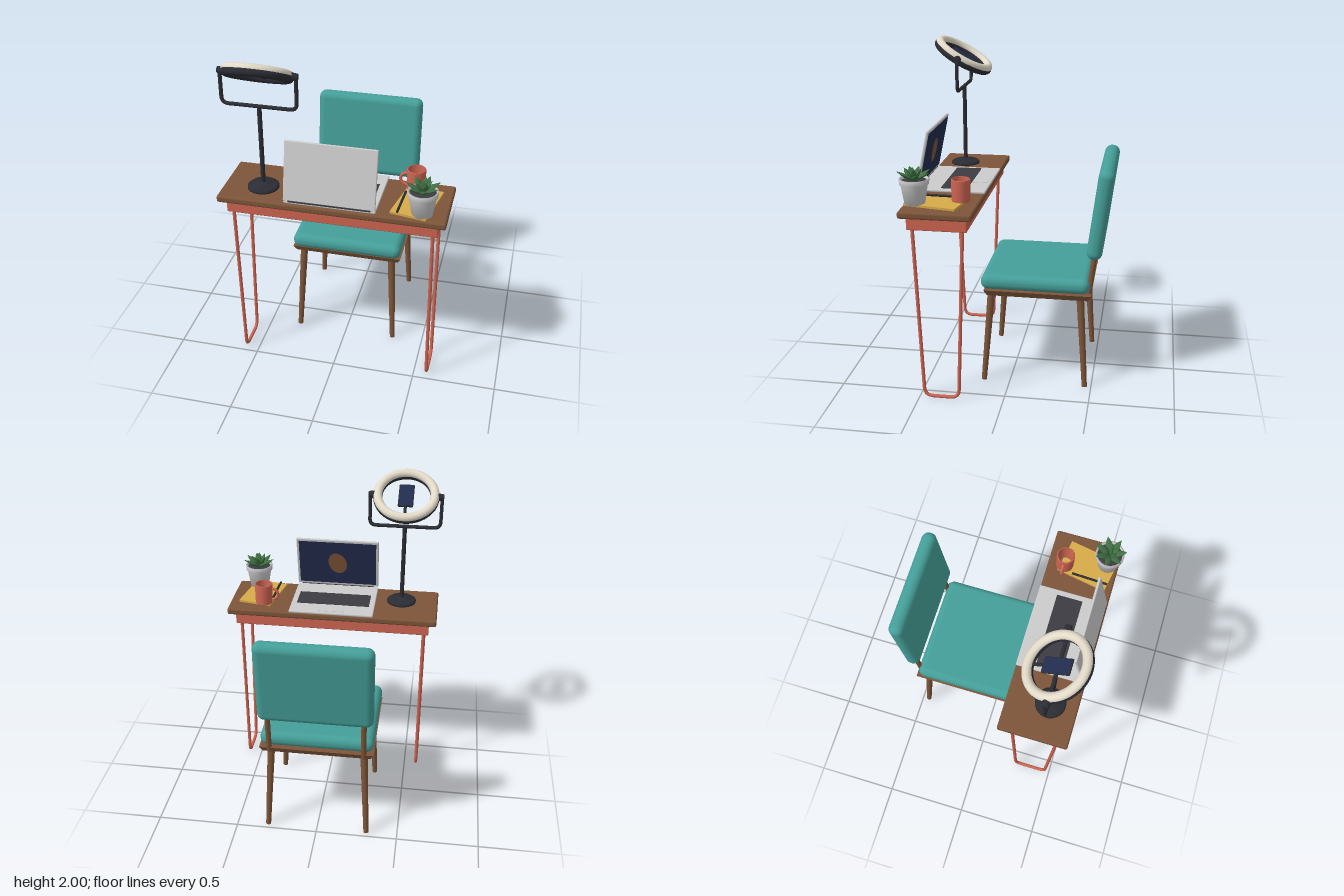
import * as THREE from 'three';
import { RoundedBoxGeometry } from 'three/addons/geometries/RoundedBoxGeometry.js';

const V = (x, y, z) => new THREE.Vector3(x, y, z);

export function createModel() {
  const mat = (name, color, side = THREE.FrontSide) => {
    const m = new THREE.MeshStandardMaterial({ color, side });
    m.name = name;
    return m;
  };
  const teal = mat('teal fabric', 0x459f99);
  const wood = mat('walnut wood', 0x7d5539);
  const coral = mat('coral paint', 0xcf6552, THREE.DoubleSide);
  const black = mat('lamp black', 0x2b2d34);
  const grey = mat('keyboard grey', 0x3d3b43);
  const silver = mat('light grey', 0xcccccc);
  const cream = mat('cream diffuser', 0xe2dac8);
  const navy = mat('navy screen', 0x222c4e);
  const gold = mat('mustard cover', 0xd6aa48);
  const green = mat('leaf green', 0x3f6f42);

  const model = new THREE.Group();
  model.name = 'deskAndChair';
  const group = (name, parent = model) => {
    const g = new THREE.Group();
    g.name = name;
    parent.add(g);
    return g;
  };
  const add = (parent, name, geo, material, x = 0, y = 0, z = 0) => {
    const m = new THREE.Mesh(geo, material);
    m.name = name;
    m.position.set(x, y, z);
    parent.add(m);
    return m;
  };
  const box = (w, h, d) => new THREE.BoxGeometry(w, h, d);
  const rbox = (w, h, d, r, s = 3) => new RoundedBoxGeometry(w, h, d, s, r);
  // Tapered rod between two points
  const rod = (parent, name, material, a, b, ra, rb = ra) => {
    const dir = b.clone().sub(a);
    const mid = a.clone().add(b).multiplyScalar(0.5);
    const m = add(parent, name, new THREE.CylinderGeometry(rb, ra, dir.length(), 16), material, mid.x, mid.y, mid.z);
    m.quaternion.setFromUnitVectors(V(0, 1, 0), dir.normalize());
    return m;
  };
  // Tube along straight runs joined by rounded corners of radius c
  const bentTube = (pts, c, r) => {
    const path = new THREE.CurvePath();
    let from = pts[0];
    for (let i = 1; i < pts.length - 1; i++) {
      const p = pts[i];
      const a = p.clone().add(pts[i - 1].clone().sub(p).setLength(c));
      const b = p.clone().add(pts[i + 1].clone().sub(p).setLength(c));
      path.add(new THREE.LineCurve3(from, a));
      path.add(new THREE.QuadraticBezierCurve3(a, p, b));
      from = b;
    }
    path.add(new THREE.LineCurve3(from, pts[pts.length - 1]));
    return new THREE.TubeGeometry(path, 120, r, 10);
  };

  // Desk
  const desk = group('desk');
  add(desk, 'tabletop', rbox(1.31, 0.042, 0.42, 0.013), wood, 0, 1.159, 0.364);
  add(desk, 'apron', rbox(1.218, 0.08, 0.346, 0.006, 2), coral, 0, 1.1, 0.363);
  for (const x of [-0.578, 0.578]) {
    const pts = [V(x, 1.08, 0.51), V(x, 0.011, 0.468), V(x, 0.011, 0.262), V(x, 1.08, 0.22)];
    add(desk, 'hairpinLeg', bentTube(pts, 0.05, 0.0105), coral);
  }

  // Chair
  const chair = group('chair');
  add(chair, 'seatCushion', rbox(0.68, 0.094, 0.652, 0.044, 5), teal, 0, 0.652, -0.151);
  const frameGeo = box(0.684, 0.036, 0.64);
  const fp = frameGeo.attributes.position;
  for (let i = 0; i < fp.count; i++) {
    if (fp.getY(i) < 0) fp.setXYZ(i, fp.getX(i) * 0.945, fp.getY(i), fp.getZ(i) * 0.945);
  }
  frameGeo.computeVertexNormals();
  add(chair, 'seatFrame', frameGeo, wood, 0, 0.588, -0.167);
  for (const s of [-1, 1]) {
    rod(chair, 'frontLeg', wood, V(s * 0.308, 0, 0.16), V(s * 0.28, 0.58, 0.115), 0.016, 0.023);
    rod(chair, 'backLeg', wood, V(s * 0.308, 0, -0.46), V(s * 0.28, 0.58, -0.42), 0.016, 0.023);
    rod(chair, 'backPost', wood, V(s * 0.283, 0.575, -0.468), V(s * 0.283, 1.0, -0.518), 0.016);
  }
  add(chair, 'backCushion', rbox(0.68, 0.545, 0.092, 0.044, 5), teal, 0, 1.096, -0.527).rotation.x = -0.125;

  // Laptop, opened towards the chair
  const laptop = group('laptop');
  add(laptop, 'laptopBase', rbox(0.526, 0.016, 0.408, 0.006, 2), silver, 0, 1.188, 0.356);
  add(laptop, 'keyboard', box(0.456, 0.004, 0.157), grey, 0, 1.197, 0.345);
  add(laptop, 'trackpad', box(0.16, 0.003, 0.092), silver, 0, 1.1965, 0.218);
  const hinge = add(laptop, 'hinge', new THREE.CylinderGeometry(0.008, 0.008, 0.47, 12), grey, 0, 1.2, 0.56);
  hinge.rotation.z = Math.PI / 2;
  const lid = group('lid', laptop);
  lid.position.set(0, 1.198, 0.56);
  lid.rotation.x = -0.21;
  add(lid, 'lidShell', rbox(0.526, 0.35, 0.016, 0.006, 2), silver, 0, 0.177, 0);
  add(lid, 'screen', box(0.494, 0.316, 0.003), navy, 0, 0.178, -0.0085);
  const picture = add(lid, 'screenPicture', new THREE.CircleGeometry(1, 32), wood, 0, 0.178, -0.011);
  picture.scale.set(0.058, 0.078, 1);
  picture.rotation.set(0, Math.PI, 0.25);

  // Ring lamp
  const lamp = group('ringLamp');
  lamp.position.set(-0.424, 0, 0.41);
  const basePts = [[0, 1.178], [0.091, 1.178], [0.091, 1.19], [0.08, 1.199], [0.03, 1.206], [0.02, 1.215], [0, 1.215]];
  add(lamp, 'lampBase', new THREE.LatheGeometry(basePts.map(p => new THREE.Vector2(...p)), 36), black);
  rod(lamp, 'lampStem', black, V(0, 1.19, 0), V(0, 1.685, 0), 0.013);
  const yoke = [V(-0.215, 1.885, 0), V(-0.215, 1.689, 0), V(0.215, 1.689, 0), V(0.215, 1.885, 0)];
  add(lamp, 'lampYoke', bentTube(yoke, 0.04, 0.011), black);
  for (const s of [-1, 1]) {
    rod(lamp, 'pivotKnob', black, V(s * 0.19, 1.885, 0), V(s * 0.226, 1.885, 0), 0.024, 0.018);
  }
  const head = group('lampHead', lamp);
  head.position.y = 1.885;
  head.rotation.x = -0.52;
  const ring = (name, r, material, y) => {
    add(head, name, new THREE.TorusGeometry(0.171, r, 18, 56), material, 0, y, 0).rotation.x = Math.PI / 2;
  };
  ring('ringHousing', 0.028, black, -0.007);
  ring('ringDiffuser', 0.0265, cream, 0.007);
  rod(head, 'phoneArm', black, V(0, -0.008, -0.16), V(0, -0.008, 0), 0.009);
  add(head, 'phoneBody', rbox(0.092, 0.014, 0.168, 0.006, 2), black);
  add(head, 'phoneScreen', box(0.082, 0.003, 0.156), navy, 0, 0.007, 0);

  // Notebook and pen
  const notebook = add(model, 'notebook', box(0.21, 0.013, 0.312), gold, 0.467, 1.1865, 0.394);
  notebook.rotation.y = -0.18;
  rod(model, 'pen', black, V(0.388, 1.2, 0.315), V(0.379, 1.2, 0.535), 0.007);

  // Mug
  const mug = group('mug');
  mug.position.set(0.436, 1.19, 0.256);
  const mugPts = [[0.045, 0.003], [0.046, 0.13], [0.051, 0.132], [0.055, 0.127], [0.053, 0.006], [0.05, 0]];
  add(mug, 'mugCup', new THREE.LatheGeometry(mugPts.map(p => new THREE.Vector2(...p)), 32), coral);
  add(mug, 'mugHandle', new THREE.TorusGeometry(0.037, 0.009, 10, 24, Math.PI), coral, -0.053, 0.062, 0).rotation.z = Math.PI / 2;

  // Potted succulent
  const plant = group('pottedPlant');
  plant.position.set(0.513, 1.187, 0.505);
  const potPts = [[0, 0], [0.058, 0], [0.077, 0.115], [0.084, 0.117], [0.086, 0.148], [0.076, 0.148], [0.074, 0.132]];
  add(plant, 'pot', new THREE.LatheGeometry(potPts.map(p => new THREE.Vector2(...p)), 32), silver);
  const soil = add(plant, 'soil', new THREE.CircleGeometry(0.076, 28), grey, 0, 0.134, 0);
  soil.rotation.x = -Math.PI / 2;
  const leafPts = [[0, 0], [0.012, 0.1], [0.021, 0.45], [0.016, 0.72], [0, 1]];
  const leaves = (count, length, tilt, turn) => {
    for (let i = 0; i < count; i++) {
      const pivot = group('leaf', plant);
      pivot.position.y = 0.134;
      pivot.rotation.y = turn + (i / count) * Math.PI * 2;
      const geo = new THREE.LatheGeometry(leafPts.map(([r, h]) => new THREE.Vector2(r, h * length)), 10);
      geo.scale(1, 1, 0.45);
      add(pivot, 'leafBlade', geo, green).rotation.x = tilt;
    }
  };
  leaves(7, 0.112, 1.05, 0.2);
  leaves(5, 0.09, 0.55, 0.5);
  leaves(1, 0.08, 0.08, 0);
  return model;
}
